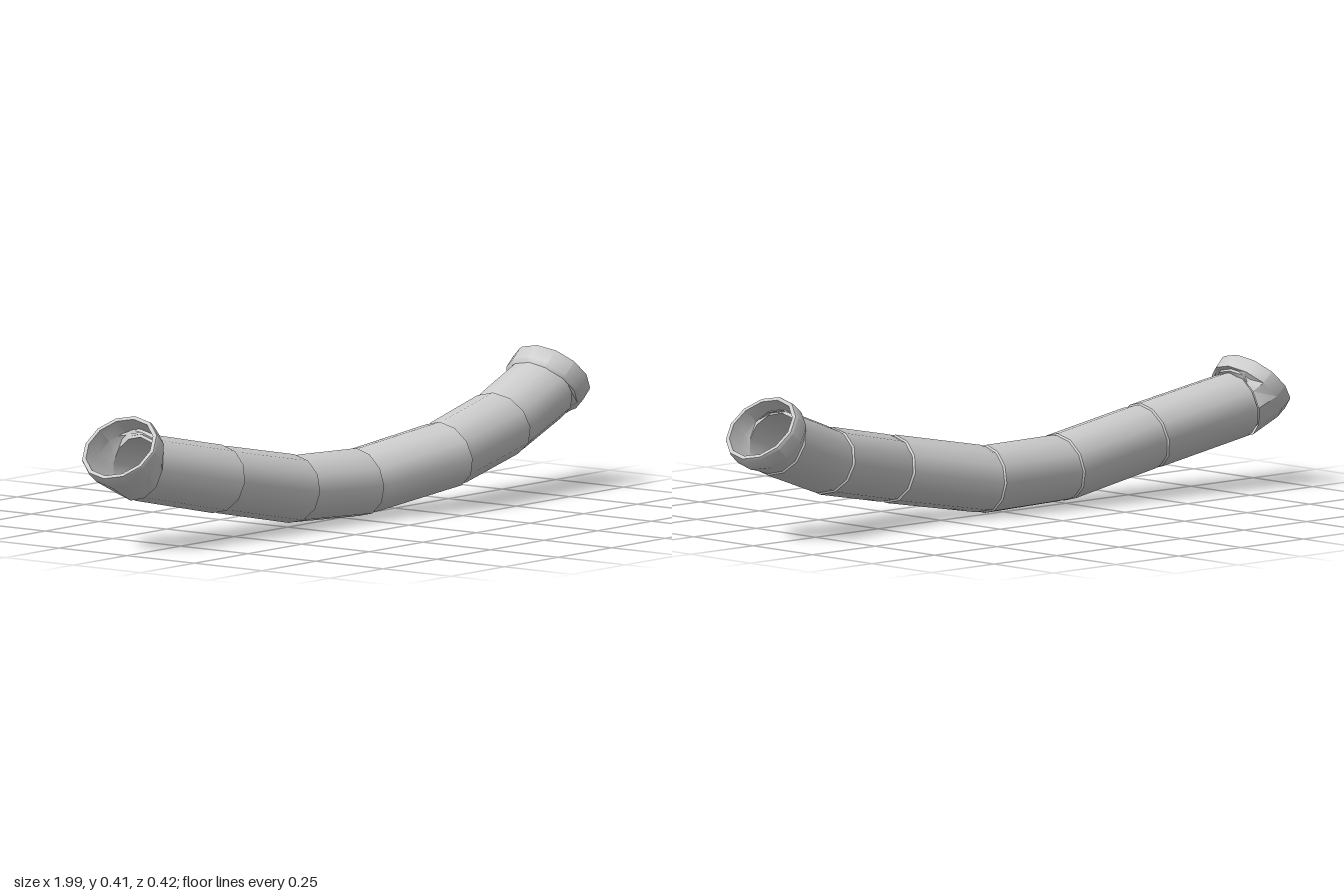
import * as THREE from 'three';
import { toCreasedNormals } from 'three/addons/utils/BufferGeometryUtils.js';

const SIDES = 12;
const RY = 0.1, RZ = 0.113; // the pipe is slightly wider than tall
const V = (x, y, z) => new THREE.Vector3(x, y, z);

// Cross-section: centre, direction along the pipe (towards +x), scale of the pipe radius
const ring = (c, n, s = 1) => ({ c, n: n.clone().normalize(), s });

// Skin through a list of elliptical rings
function loft(name, rings) {
  const pos = [], idx = [];
  for (const { c, n, s } of rings) {
    const side = n.clone().cross(V(0, 1, 0)).normalize();
    const up = side.clone().cross(n);
    for (let j = 0; j < SIDES; j++) {
      const a = (j / SIDES) * Math.PI * 2;
      const p = c.clone().addScaledVector(side, Math.cos(a) * RZ * s).addScaledVector(up, Math.sin(a) * RY * s);
      pos.push(p.x, p.y, p.z);
    }
  }
  for (let i = 0; i < rings.length - 1; i++) {
    for (let j = 0; j < SIDES; j++) {
      const a = i * SIDES + j, b = i * SIDES + (j + 1) % SIDES;
      idx.push(a, a + SIDES, b, b, a + SIDES, b + SIDES);
    }
  }
  const geo = new THREE.BufferGeometry();
  geo.setAttribute('position', new THREE.Float32BufferAttribute(pos, 3));
  geo.setIndex(idx);
  const mesh = new THREE.Mesh(
    toCreasedNormals(geo, 0.65),
    new THREE.MeshStandardMaterial({ color: 0xcccccc, side: THREE.DoubleSide })
  );
  mesh.name = name;
  return mesh;
}

export function createModel() {
  const model = new THREE.Group();
  model.name = 'bentPipe';

  // Centres of the pipe joints
  const joints = [
    V(-0.86, 0.24, -0.077), V(-0.54, 0.172, -0.027), V(-0.22, 0.11, -0.006), V(0.06, 0.101, 0.018),
    V(0.365, 0.154, 0.094), V(0.65, 0.209, 0.066), V(0.865, 0.287, 0.05),
  ];
  const last = joints.length - 1;
  const dirs = joints.slice(1).map((p, i) => p.clone().sub(joints[i]).normalize());
  // Mitred direction at each joint
  const miters = joints.map((_, i) => dirs[Math.max(i - 1, 0)].clone().add(dirs[Math.min(i, last - 1)]).normalize());

  // Straight segments with a fine groove at each joint
  for (let i = 0; i < last; i++) {
    const at = (j, d, s) => ring(joints[j].clone().addScaledVector(dirs[i], d), miters[j], s);
    model.add(loft('pipeSegment' + (i + 1), [
      at(i, 0, 0.95), at(i, 0.02, 0.985), at(i + 1, -0.004, 1), at(i + 1, 0, 0.95),
    ]));
  }

  // Inner wall
  model.add(loft('innerWall', joints.map((p, i) => ring(p, miters[i], 0.86))));

  // Right-hand collar in the x direction: bevel, band, rim and hollow mouth
  const rn = V(0.75, 0.66, 0).normalize(), rc = V(0.922, 0.333, 0.05);
  const onRight = (d, s) => ring(rc.clone().addScaledVector(rn, -d), rn, s);
  model.add(loft('endCollar', [
    ring(joints[last], miters[last], 0.96), onRight(0.065, 1.05), onRight(0.05, 1.14), onRight(0.008, 1.14),
    onRight(0, 1.11), onRight(0, 1.0), onRight(0.05, 0.95), ring(joints[last], miters[last], 0.86),
  ]));

  // Opposite collar, swept upwards from the pipe end
  const ln = V(0.75, -0.66, 0).normalize(), lc = V(-0.925, 0.302, -0.087);
  const onLeft = (d, s) => ring(lc.clone().addScaledVector(ln, d), ln, s);
  model.add(loft('startCollar', [
    ring(joints[0], miters[0], 0.86), onLeft(0.05, 0.95), onLeft(0, 1.0), onLeft(0, 1.11),
    onLeft(0.006, 1.13), onLeft(0.045, 1.11), ring(joints[0], miters[0], 1),
  ]));

  return model;
}
